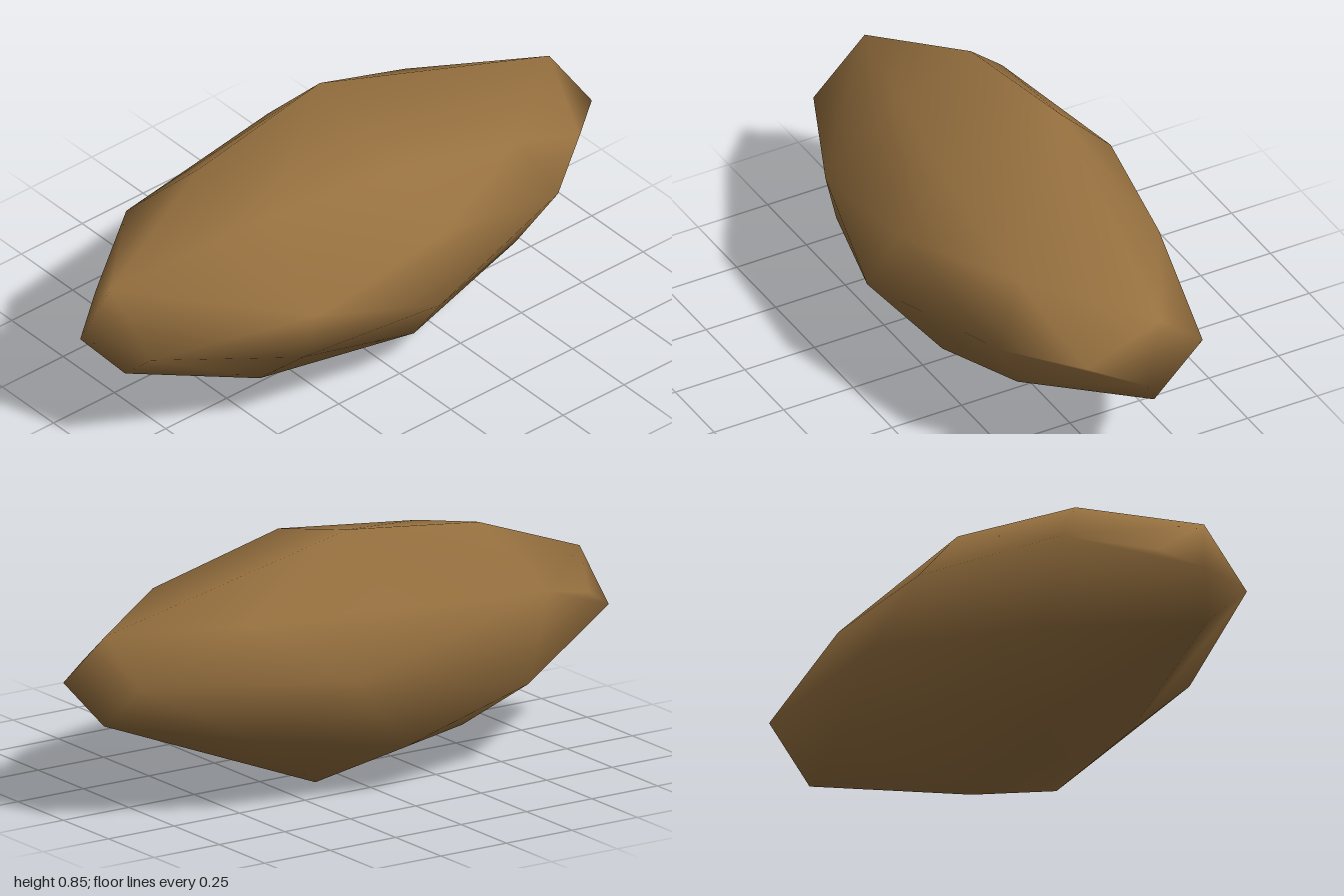
import * as THREE from 'three';
import { mergeVertices } from 'three/addons/utils/BufferGeometryUtils.js';
import { ConvexGeometry } from 'three/addons/geometries/ConvexGeometry.js';

// Corners of the tuber, ring by ring from the back end to the front end: [x, y, z]
const rings = [
  // back tip
  [[0, 0.45, -1], [-0.26, 0.47, -0.89], [-0.1, 0.61, -0.91], [-0.08, 0.31, -0.9], [0.13, 0.46, -0.84]],
  // back shoulder
  [[0.31, 0.45, -0.6], [0.2, 0.63, -0.52], [0.2, 0.24, -0.52], [-0.32, 0.63, -0.5], [-0.33, 0.25, -0.48]],
  // widest girth
  [[-0.21, 0.845, -0.06], [0.2, 0.745, -0.04], [0.38, 0.585, -0.08], [0.45, 0.38, 0], [0.225, 0.105, -0.08],
    [-0.105, 0, -0.11], [-0.375, 0.155, 0.05], [-0.45, 0.43, -0.2], [-0.415, 0.63, -0.02]],
  // front shoulder
  [[-0.18, 0.775, 0.46], [0.1, 0.72, 0.42], [0.36, 0.49, 0.43], [0.31, 0.31, 0.45], [0.08, 0.09, 0.43],
    [-0.15, 0.11, 0.42], [-0.37, 0.28, 0.52], [-0.37, 0.57, 0.6]],
  // front tip
  [[-0.12, 0.4, 1], [0.13, 0.42, 0.92], [-0.06, 0.59, 0.93], [-0.02, 0.275, 0.9], [-0.2, 0.48, 0.87]],
];

export function createModel() {
  const skin = new THREE.MeshStandardMaterial({ color: 0x96703f });
  skin.name = 'brown skin';

  // Faceted hull with shared vertices, so the shading runs smoothly over it
  let geometry = new ConvexGeometry(rings.flat().map((p) => new THREE.Vector3(...p)));
  geometry.deleteAttribute('normal');
  geometry = mergeVertices(geometry);
  geometry.computeVertexNormals();

  const tuber = new THREE.Mesh(geometry, skin);
  tuber.name = 'tuber';

  const group = new THREE.Group();
  group.name = 'potato';
  group.add(tuber);
  return group;
}
